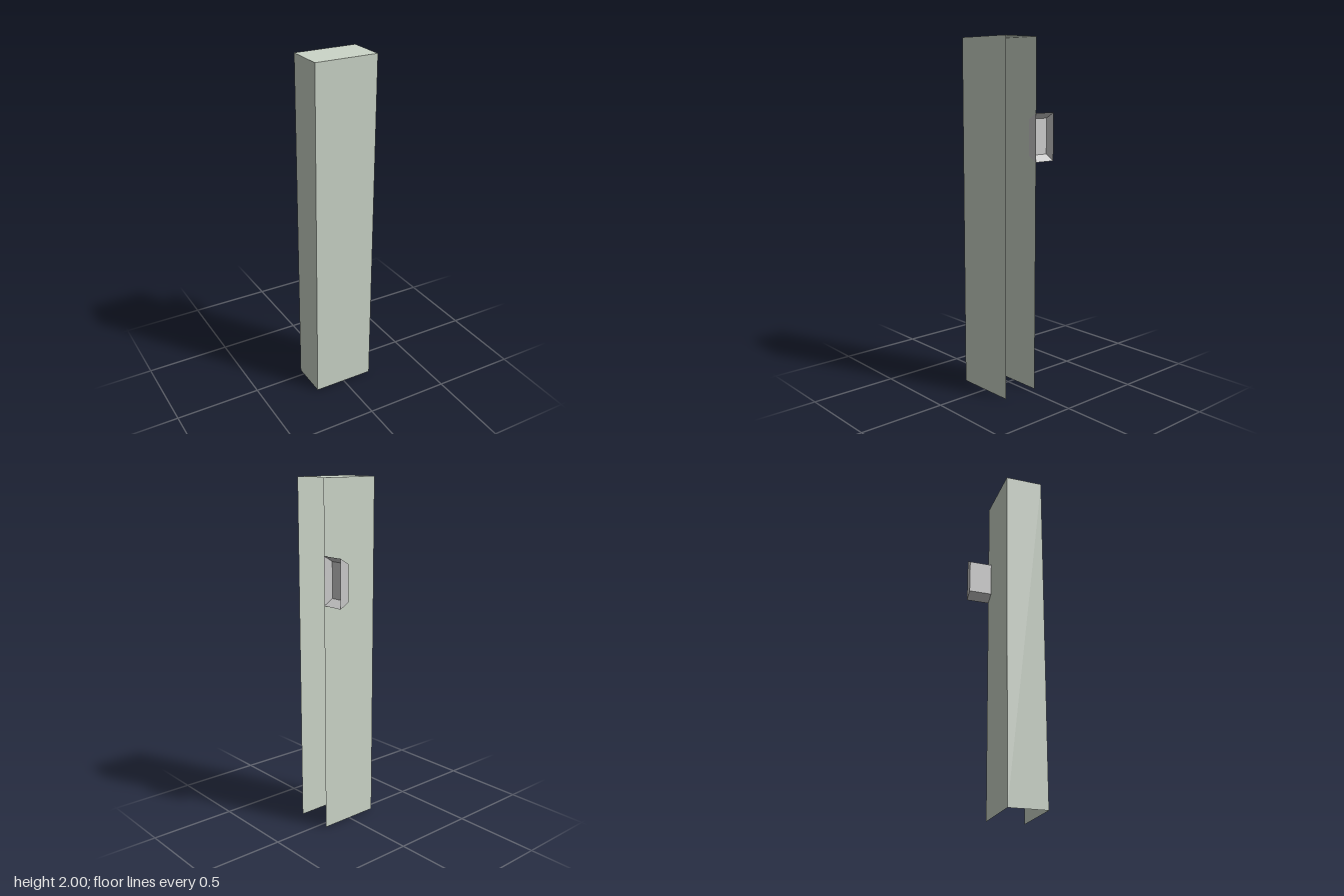
import * as THREE from 'three';

const W = 0.363, H = 2, BACK = -0.043, FRONT = 0.177;
// Handle cup: x range, heights at its open (+x) and closed (-x) ends, back plane
const CUP = { x0: 0.125, x1: W / 2, low: 1.322, high: 1.592, lowIn: 1.356, highIn: 1.558, back: -0.177 };

// Box keeping only the listed sides (0 +x, 1 -x, 2 +y, 3 -y, 4 +z, 5 -z)
function openBox(w, h, d, sides) {
  const geo = new THREE.BoxGeometry(w, h, d);
  const index = Array.from(geo.index.array);
  geo.setIndex(sides.flatMap((s) => index.slice(s * 6, s * 6 + 6)));
  geo.clearGroups();
  return geo;
}

function addPart(group, name, geo, material) {
  const mesh = new THREE.Mesh(geo, material);
  mesh.name = name;
  group.add(mesh);
  return mesh;
}

export function createModel() {
  const model = new THREE.Group();
  model.name = 'doorPanel';
  const panelMat = new THREE.MeshStandardMaterial({ color: 0xccd6c9, side: THREE.DoubleSide });
  const handleMat = new THREE.MeshStandardMaterial({ color: 0xcccccc, side: THREE.DoubleSide });

  // Shell: left edge, top and front, open underneath and at +x
  const shell = addPart(model, 'panelShell', openBox(W, H, FRONT - BACK, [1, 2, 4]), panelMat);
  shell.position.set(0, H / 2, (FRONT + BACK) / 2);

  // Back sheet, notched where the handle cup sits
  const outline = new THREE.Shape([
    [-W / 2, 0], [W / 2, 0], [W / 2, CUP.low], [CUP.x0, CUP.lowIn],
    [CUP.x0, CUP.highIn], [W / 2, CUP.high], [W / 2, H], [-W / 2, H],
  ].map(([x, y]) => new THREE.Vector2(x, y)));
  const sheet = new THREE.ShapeGeometry(outline);
  sheet.rotateY(Math.PI); // outward side faces the back
  sheet.scale(-1, 1, 1);
  const idx = sheet.index.array;
  for (let i = 0; i < idx.length; i += 3) [idx[i], idx[i + 1]] = [idx[i + 1], idx[i]];
  sheet.computeVertexNormals();
  addPart(model, 'panelBack', sheet, panelMat).position.z = BACK;

  // Handle cup: open at +x, tapering in height towards its closed end
  const cup = openBox(CUP.x1 - CUP.x0, CUP.high - CUP.low, BACK - CUP.back, [1, 2, 3, 4, 5]);
  cup.translate((CUP.x0 + CUP.x1) / 2, (CUP.low + CUP.high) / 2, (BACK + CUP.back) / 2);
  const pos = cup.attributes.position;
  const middle = (CUP.low + CUP.high) / 2;
  for (let i = 0; i < pos.count; i++) {
    if (pos.getX(i) < (CUP.x0 + CUP.x1) / 2) pos.setY(i, pos.getY(i) > middle ? CUP.highIn : CUP.lowIn);
  }
  cup.computeVertexNormals();
  addPart(model, 'handleCup', cup, handleMat);

  return model;
}
